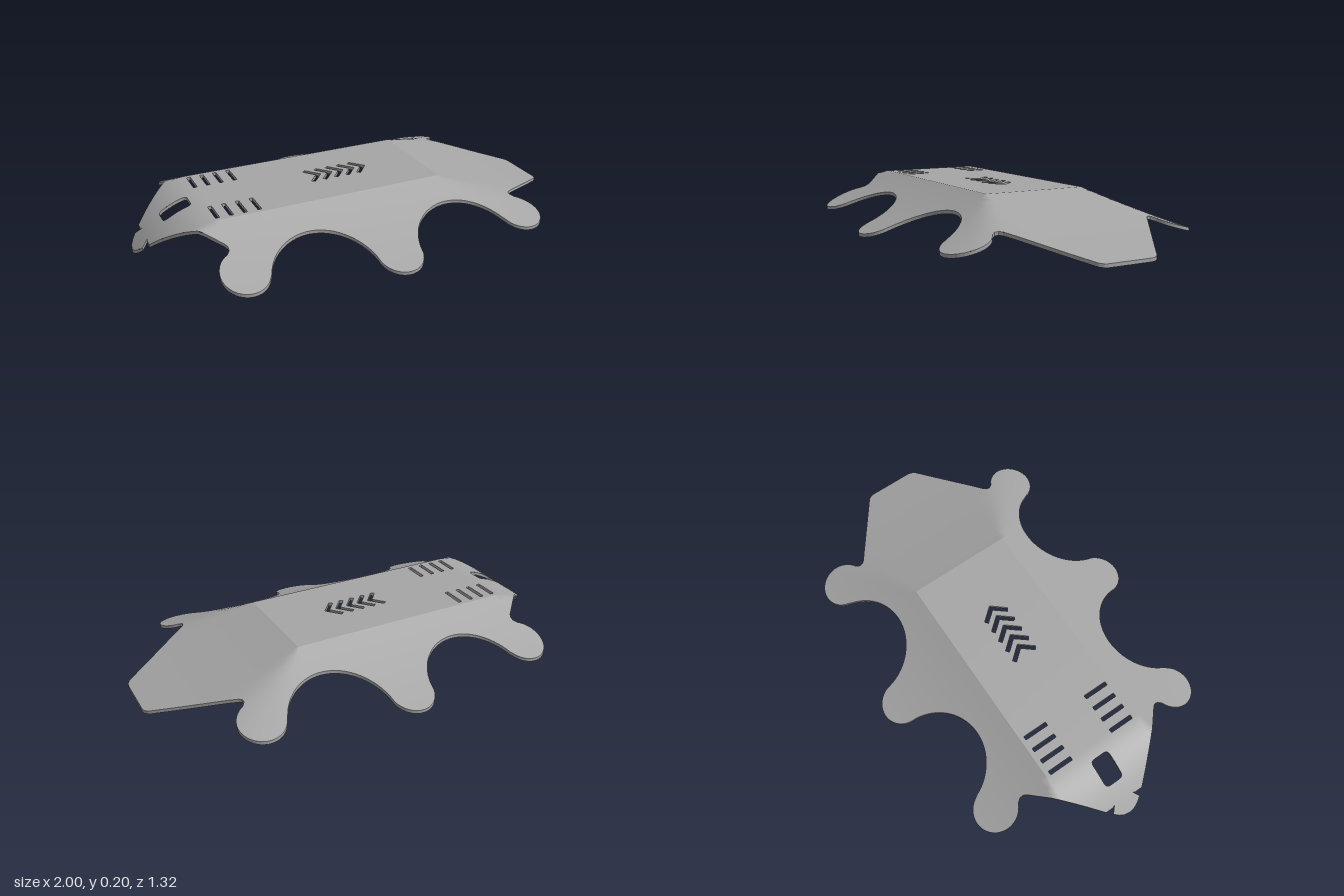
import * as THREE from 'three';

const THICK = 0.015;
const rad = Math.PI / 180;
const V = (x, z) => new THREE.Vector2(x, z);

// Height of the plate's top: flat deck falling away to the sides and both ends
function height(x, z) {
  const f = Math.max(x - 0.35, 0), b = Math.max(-x - 0.68, 0), s = Math.max(Math.abs(z) - 0.24, 0);
  const dx = 0.32 * f - 0.054 * f * f + 1.75 * b * b;
  const dz = 0.55 * s - 0.26 * s * s;
  return 0.2 - Math.pow(dx ** 4 + dz ** 4, 0.25);
}

function arc(cx, cz, r, a0, a1, n) {
  return Array.from({ length: n + 1 }, (_, i) => {
    const a = (a0 + (a1 - a0) * i / n) * rad;
    return V(cx + r * Math.cos(a), cz + r * Math.sin(a));
  });
}

// Scalloped outline with three round lobes per side and a small tab at the rear
function outline() {
  const half = [
    V(1, 0.1), V(0.997, 0.118), V(0.985, 0.136), V(0.67, 0.348), V(0.659, 0.36), V(0.657, 0.376),
    ...arc(0.63, 0.485, 0.1, -66, 159.5, 28),
    ...arc(0.315, 0.603, 0.234, -20.5, -172.6, 30).slice(1),
    ...arc(-0.015, 0.56, 0.1, 7.4, 172.6, 22).slice(1),
    ...arc(-0.345, 0.603, 0.234, -7.4, -159.5, 30).slice(1),
    ...arc(-0.66, 0.485, 0.1, 20.5, 246, 28).slice(1),
    V(-0.687, 0.376), V(-0.686, 0.36), V(-0.694, 0.346), V(-0.945, 0.098), V(-0.945, 0.06), V(-0.94, 0.05),
    V(-0.968, 0.072), V(-0.985, 0.05), V(-0.996, 0.027),
  ];
  return [...half, V(-1, 0), ...half.map(p => V(p.x, -p.y)).reverse()];
}

function roundedRect(cx, cz, w, d, r) {
  const x = w / 2 - r, z = d / 2 - r;
  return [[x, z, 0], [-x, z, 90], [-x, -z, 180], [x, -z, 270]]
    .flatMap(([ox, oz, a]) => arc(cx + ox, cz + oz, r, a, a + 90, 4));
}

function openings() {
  const list = [roundedRect(-0.802, 0, 0.125, 0.09, 0.018)];
  for (const x of [-0.68, -0.62, -0.56, -0.497])
    for (const s of [-1, 1]) list.push(roundedRect(x, s * 0.162, 0.018, 0.115, 0.004));
  for (let i = 0; i < 5; i++) {
    const t = 0.1 - i * 0.056;
    list.push([V(t, 0), V(t - 0.053, 0.063), V(t - 0.068, 0.052), V(t - 0.025, 0),
      V(t - 0.068, -0.052), V(t - 0.053, -0.063)]);
  }
  return list;
}

// Split long edges so that walls follow the curved surface
function densify(loop) {
  return loop.flatMap((p, i) => {
    const q = loop[(i + 1) % loop.length], n = Math.ceil(p.distanceTo(q) / 0.03);
    return Array.from({ length: n }, (_, k) => p.clone().lerp(q, k / n));
  });
}

// Cut a convex polygon along x = v or z = v
function cut(poly, axis, v) {
  const lo = [], hi = [];
  poly.forEach((p, i) => {
    const q = poly[(i + 1) % poly.length], a = p[axis] - v, b = q[axis] - v;
    if (a <= 0) lo.push(p);
    if (a >= 0) hi.push(p);
    if (a * b < 0) {
      const m = p.clone().lerp(q, a / (a - b));
      m[axis] = v;
      lo.push(m); hi.push(m);
    }
  });
  return [lo, hi].filter(l => l.length > 2);
}

function plateGeometry() {
  const outer = densify(outline());
  const holes = openings().map(h => densify(THREE.ShapeUtils.area(h) > 0 ? h.reverse() : h));
  const all = [outer, ...holes].flat();
  let polys = THREE.ShapeUtils.triangulateShape(outer, holes).map(t => t.map(i => all[i]));

  const slice = (axis, v) => {
    polys = polys.flatMap(p => {
      const c = p.map(q => q[axis]);
      return Math.min(...c) < v - 1e-6 && Math.max(...c) > v + 1e-6 ? cut(p, axis, v) : [p];
    });
  };
  for (let i = -39; i < 40; i++) slice('x', i * 0.025);
  slice('x', -0.68);
  for (let i = -21; i < 22; i++) slice('y', i * 0.03);

  const pos = [], nor = [];
  // Surface normal, sampled slightly inside the triangle so creases stay crisp
  const normalAt = (p, c) => {
    const x = p.x + (c.x - p.x) * 0.05, z = p.y + (c.y - p.y) * 0.05, e = 1e-5;
    return new THREE.Vector3((height(x - e, z) - height(x + e, z)) / (2 * e), 1,
      (height(x, z - e) - height(x, z + e)) / (2 * e)).normalize();
  };
  // Top and underside
  for (const poly of polys) {
    for (let i = 1; i < poly.length - 1; i++) {
      let tri = [poly[0], poly[i], poly[i + 1]];
      const area = THREE.ShapeUtils.area(tri);
      if (Math.abs(area) < 1e-10) continue;
      if (area > 0) tri.reverse();
      const c = V(0, 0);
      tri.forEach(p => c.addScaledVector(p, 1 / 3));
      for (const side of [1, -1]) {
        for (const p of side > 0 ? tri : [...tri].reverse()) {
          const n = normalAt(p, c).multiplyScalar(side);
          pos.push(p.x, height(p.x, p.y) - (side > 0 ? 0 : THICK), p.y);
          nor.push(n.x, n.y, n.z);
        }
      }
    }
  }
  // Rim and opening walls
  for (const loop of [outer, ...holes]) {
    loop.forEach((a, i) => {
      const b = loop[(i + 1) % loop.length], d = b.clone().sub(a).normalize();
      const ya = height(a.x, a.y), yb = height(b.x, b.y);
      const A = [a.x, ya, a.y], B = [b.x, yb, b.y];
      const C = [b.x, yb - THICK, b.y], D = [a.x, ya - THICK, a.y];
      pos.push(...A, ...B, ...C, ...A, ...C, ...D);
      for (let k = 0; k < 6; k++) nor.push(d.y, 0, -d.x);
    });
  }
  const g = new THREE.BufferGeometry();
  g.setAttribute('position', new THREE.Float32BufferAttribute(pos, 3));
  g.setAttribute('normal', new THREE.Float32BufferAttribute(nor, 3));
  return g;
}

// Hollow mounting boss whose top end meets the underside of the plate
function bossGeometry(cx, cz) {
  const shape = new THREE.Shape().absarc(0, 0, 0.038, 0, Math.PI * 2);
  shape.holes.push(new THREE.Path().absarc(0, 0, 0.02, 0, Math.PI * 2, true));
  const g = new THREE.ExtrudeGeometry(shape, { depth: 0.05, bevelEnabled: false, curveSegments: 24 });
  g.rotateX(-Math.PI / 2).translate(cx, 0.133, cz);
  const p = g.attributes.position;
  for (let i = 0; i < p.count; i++)
    if (p.getY(i) > 0.16) p.setY(i, height(p.getX(i), p.getZ(i)) - THICK * 0.7);
  return g;
}

export function createModel() {
  const metal = new THREE.MeshStandardMaterial({ color: 0xa6a6a6 });
  metal.name = 'plain grey metal';
  const group = new THREE.Group();
  group.name = 'guardPlate';
  const add = (name, geometry) => {
    const m = new THREE.Mesh(geometry, metal);
    m.name = name;
    group.add(m);
  };
  add('plate', plateGeometry());
  for (const [sx, end] of [[1, 'Front'], [-1, 'Rear']])
    for (const [sz, side] of [[1, 'Near'], [-1, 'Far']])
      add(`mountingBoss${end}${side}`, bossGeometry(sx * 0.36, sz * 0.25));
  return group;
}
